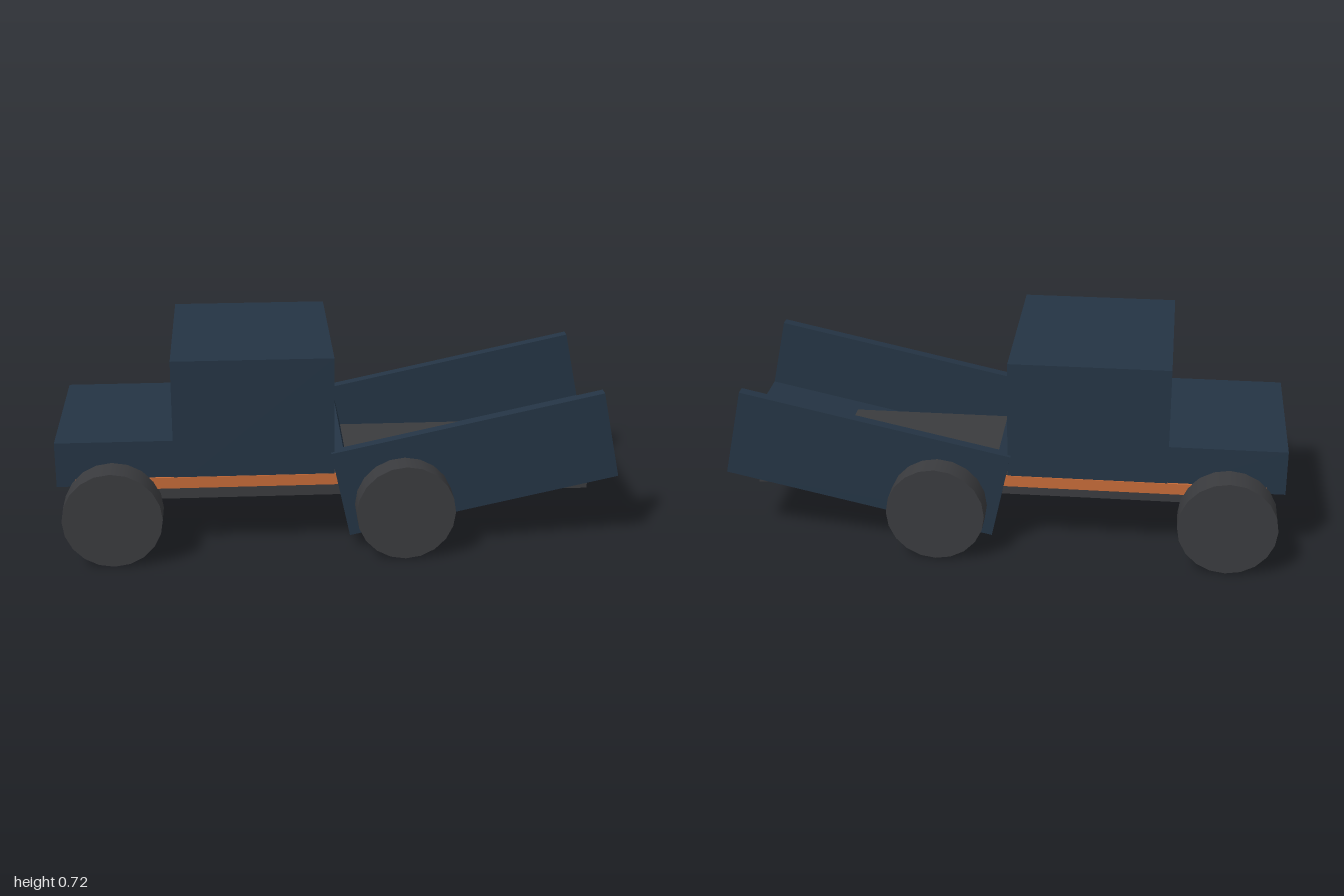
import * as THREE from 'three';

const paint = new THREE.MeshStandardMaterial({ color: 0x243444 });
const dark = new THREE.MeshStandardMaterial({ color: 0x3a3b3e });
const orange = new THREE.MeshStandardMaterial({ color: 0xc46a38 });

// Box given by its extents along each axis
function box(parent, name, material, [x0, x1], [y0, y1], [z0, z1]) {
  const mesh = new THREE.Mesh(new THREE.BoxGeometry(x1 - x0, y1 - y0, z1 - z0), material);
  mesh.position.set((x0 + x1) / 2, (y0 + y1) / 2, (z0 + z1) / 2);
  mesh.name = name;
  parent.add(mesh);
  return mesh;
}

export function createModel() {
  const truck = new THREE.Group();
  truck.name = 'tipperTruck';

  // Frame, hood and cab; the truck drives towards -x
  box(truck, 'chassis', dark, [-0.91, 0.91], [0.168, 0.249], [-0.245, 0.245]);
  box(truck, 'hood', paint, [-1, -0.58], [0.25, 0.415], [-0.305, 0.305]);
  box(truck, 'cab', paint, [-0.585, -0.02], [0.25, 0.72], [-0.341, 0.341]);

  // Tipped bed, built from its lower front corner and then rotated
  const bed = new THREE.Group();
  bed.name = 'bed';
  const length = 0.982, floor = 0.065, height = 0.322;
  box(bed, 'bedFloor', paint, [0, length], [0, floor], [-0.355, 0.355]);
  box(bed, 'bedHeadboard', paint, [0, 0.045], [floor, height], [-0.315, 0.315]);
  bed.position.set(0.035, 0.055, 0);
  bed.rotation.z = THREE.MathUtils.degToRad(12);
  truck.add(bed);

  const wheelGeometry = new THREE.CylinderGeometry(0.175, 0.175, 0.107, 20).rotateX(Math.PI / 2);
  for (const side of [-1, 1]) {
    const label = side > 0 ? 'Left' : 'Right';
    const span = (a, b) => (side > 0 ? [a, b] : [-b, -a]);

    box(bed, 'bedSide' + label, paint, [0, length], [floor, height], span(0.315, 0.355));

    // Thin trim strip along the sill
    box(truck, 'trimStrip' + label, orange, [-0.93, 0], [0.25, 0.291], span(0.336, 0.344));

    for (const [name, x] of [['frontWheel', -0.8], ['rearWheel', 0.227]]) {
      const wheel = new THREE.Mesh(wheelGeometry, dark);
      wheel.name = name + label;
      wheel.position.set(x, 0.175, side * 0.391);
      truck.add(wheel);
    }
  }
  return truck;
}
